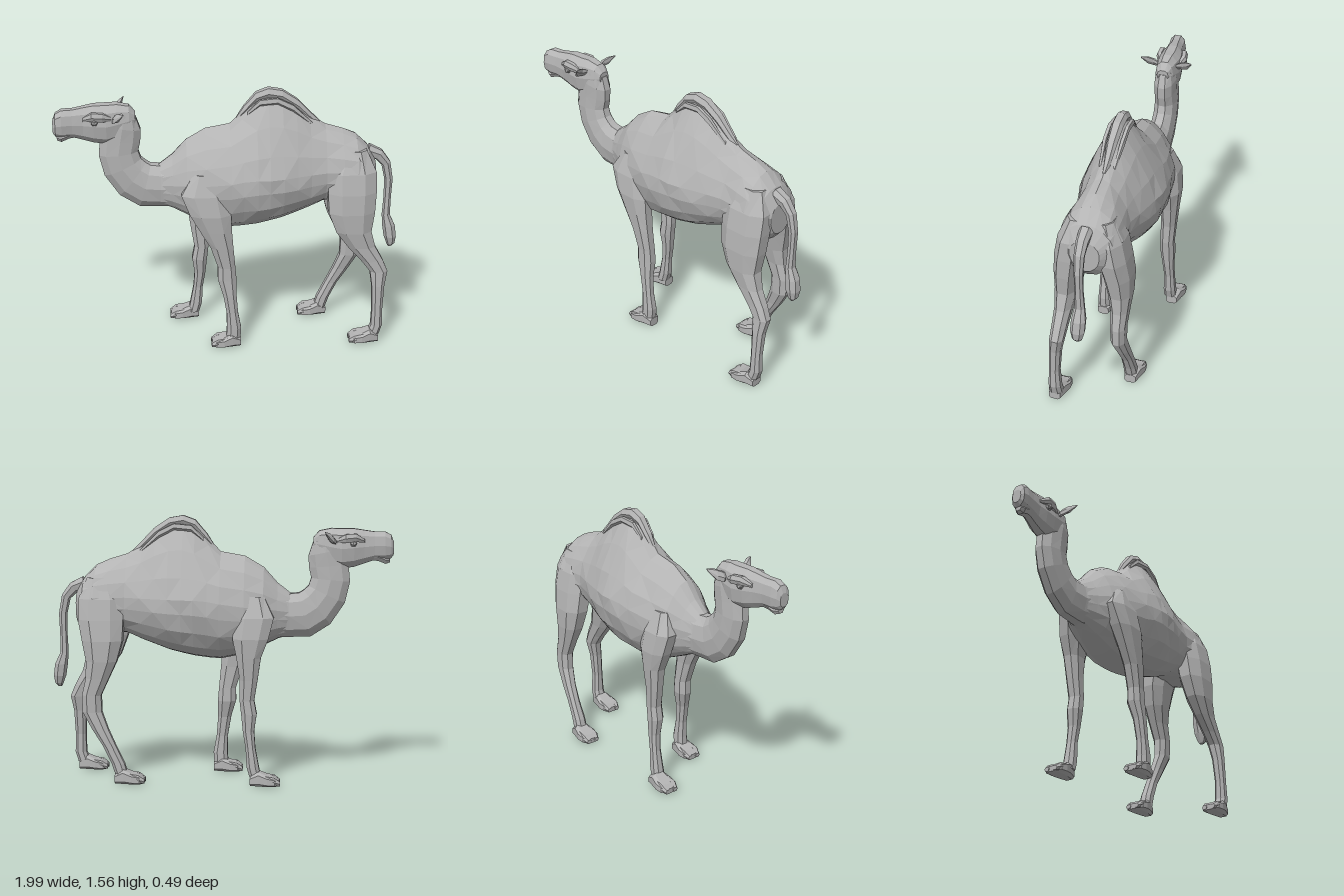
import * as THREE from 'three';

const hide = new THREE.MeshStandardMaterial({ color: 0xb4b4b4, flatShading: true });
hide.name = 'grey hide';

// Closed skin through a list of rings with equal point counts, ends capped.
function loft(name, rings) {
  const n = rings[0].length, pos = [], idx = [];
  rings.forEach(r => r.forEach(p => pos.push(...p)));
  for (let i = 0; i < rings.length - 1; i++) {
    for (let j = 0; j < n; j++) {
      const a = i * n + j, b = i * n + (j + 1) % n;
      if ((i + j) % 2) idx.push(a, b, a + n, b, b + n, a + n);
      else idx.push(a, b, b + n, a, b + n, a + n);
    }
  }
  [0, rings.length - 1].forEach(i => {
    const c = pos.length / 3, r = rings[i];
    pos.push(...[0, 1, 2].map(k => r.reduce((s, p) => s + p[k], 0) / n));
    for (let j = 0; j < n; j++) {
      const a = i * n + j, b = i * n + (j + 1) % n;
      if (i) idx.push(c, a, b); else idx.push(c, b, a);
    }
  });
  // Turn the faces outward: the enclosed volume must be positive.
  let volume = 0;
  const at = i => new THREE.Vector3().fromArray(pos, i * 3);
  for (let i = 0; i < idx.length; i += 3) volume += at(idx[i]).dot(at(idx[i + 1]).cross(at(idx[i + 2])));
  if (volume < 0) idx.reverse();
  const g = new THREE.BufferGeometry();
  g.setAttribute('position', new THREE.Float32BufferAttribute(pos, 3));
  g.setIndex(idx);
  g.computeVertexNormals();
  const mesh = new THREE.Mesh(g, hide);
  mesh.name = name;
  return mesh;
}

// Ring spanned by the z axis and a direction in the xy plane (degrees from +x).
function ring([x, y, z, a, b, deg = 0], sides = 8, pow = 0.85) {
  const d = deg * Math.PI / 180, out = [];
  const sq = v => Math.sign(v) * Math.abs(v) ** pow;
  for (let i = 0; i < sides; i++) {
    const t = (i + 0.5) / sides * Math.PI * 2, u = a * sq(Math.cos(t));
    out.push([x + u * Math.cos(d), y + u * Math.sin(d), z + b * sq(Math.sin(t))]);
  }
  return out;
}
const limb = (name, list, sides, pow) => loft(name, list.map(r => ring(r, sides, pow)));

// Trunk ring: round belly below the widest line, sharper back above it.
function trunkRing([x, bottom, mid, top, w, p]) {
  const out = [], sides = 18;
  for (let i = 0; i < sides; i++) {
    const t = i / sides * Math.PI * 2 + Math.PI / 2, c = Math.cos(t), s = Math.sin(t);
    const q = s > 0 ? p : 0.95;
    const wobble = 1 + 0.02 * Math.sin(i * 2.4 + x * 23);
    out.push([x, s > 0 ? mid + (top - mid) * s ** q : mid - (mid - bottom) * (-s) ** q,
      Math.sign(c) * w * Math.abs(c) ** q * wobble]);
  }
  return out;
}

export function createModel() {
  const camel = new THREE.Group();
  camel.name = 'camel';

  // Trunk with hump: x, bottom, widest height, top, half width, back sharpness
  camel.add(loft('trunk', [
    [-0.42, 0.87, 0.98, 1.10, 0.07, 1],
    [-0.33, 0.84, 0.99, 1.17, 0.115, 1.1],
    [-0.25, 0.80, 1.00, 1.26, 0.165, 1.2],
    [-0.14, 0.75, 1.01, 1.325, 0.205, 1.3],
    [0.00, 0.72, 1.03, 1.35, 0.23, 1.3],
    [0.07, 0.725, 1.05, 1.42, 0.238, 1.5],
    [0.15, 0.735, 1.06, 1.50, 0.245, 1.65],
    [0.22, 0.75, 1.06, 1.535, 0.242, 1.7],
    [0.30, 0.77, 1.06, 1.52, 0.23, 1.65],
    [0.38, 0.80, 1.06, 1.465, 0.21, 1.55],
    [0.46, 0.83, 1.06, 1.39, 0.185, 1.4],
    [0.55, 0.87, 1.06, 1.335, 0.165, 1.25],
    [0.65, 0.87, 1.06, 1.305, 0.175, 1.2],
    [0.73, 0.86, 1.06, 1.27, 0.18, 1.15],
    [0.80, 0.88, 1.06, 1.20, 0.15, 1.05],
    [0.845, 0.93, 1.04, 1.12, 0.085, 1],
  ].map(trunkRing)));

  // Ragged crest on the hump: a central ridge with a fold on each side
  camel.add(limb('humpCrest', [
    [0.03, 1.36, 0, 0.015, 0.01, 90], [0.08, 1.425, 0, 0.03, 0.025, 90],
    [0.15, 1.505, 0, 0.032, 0.032, 90], [0.22, 1.53, 0, 0.033, 0.035, 90],
    [0.30, 1.515, 0, 0.034, 0.035, 90], [0.39, 1.455, 0, 0.034, 0.03, 90],
    [0.47, 1.375, 0, 0.03, 0.02, 90], [0.52, 1.34, 0, 0.015, 0.01, 90]], 6));
  for (const s of [-1, 1]) {
    camel.add(limb('humpFold', [
      [0.10, 1.42, s * 0.04, 0.012, 0.008, 90], [0.17, 1.485, s * 0.045, 0.02, 0.014, 90],
      [0.27, 1.495, s * 0.05, 0.02, 0.014, 90], [0.36, 1.45, s * 0.05, 0.022, 0.014, 90],
      [0.47, 1.35, s * 0.04, 0.012, 0.008, 90]], 5));
  }

  // Neck: sagging curve up to the back of the skull
  camel.add(limb('neck', [
    [-0.30, 1.00, 0, 0.155, 0.11, 88], [-0.40, 0.98, 0, 0.132, 0.085, 88],
    [-0.49, 0.985, 0, 0.138, 0.075, 75], [-0.56, 1.03, 0, 0.132, 0.072, 52],
    [-0.615, 1.105, 0, 0.122, 0.07, 25], [-0.637, 1.19, 0, 0.118, 0.068, 5],
    [-0.625, 1.27, 0, 0.12, 0.065, -5], [-0.61, 1.35, 0, 0.11, 0.065, -12],
    [-0.60, 1.43, 0, 0.075, 0.055, -20]], 10, 0.95));

  // Head, turned slightly to the model's front side
  camel.add(limb('head', [
    [-0.535, 1.40, 0, 0.035, 0.035, 90], [-0.57, 1.395, 0, 0.082, 0.055, 90],
    [-0.64, 1.38, 0, 0.112, 0.068, 90], [-0.70, 1.37, 0.003, 0.12, 0.075, 90],
    [-0.77, 1.375, 0.008, 0.115, 0.068, 90], [-0.83, 1.38, 0.015, 0.1, 0.055, 90],
    [-0.89, 1.385, 0.023, 0.085, 0.05, 90], [-0.95, 1.385, 0.03, 0.085, 0.052, 90],
    [-0.985, 1.38, 0.035, 0.07, 0.045, 90], [-1.0, 1.37, 0.035, 0.04, 0.03, 90]], 10));
  camel.add(limb('lowerLip', [
    [-0.98, 1.305, 0.034, 0.018, 0.02, 90], [-0.955, 1.303, 0.032, 0.026, 0.034, 90],
    [-0.91, 1.32, 0.025, 0.025, 0.036, 90], [-0.85, 1.325, 0.018, 0.025, 0.03, 90]], 6));
  for (const s of [-1, 1]) {
    camel.add(limb('brow', [
      [-0.83, 1.415, s * 0.048 + 0.012, 0.012, 0.012, 90], [-0.78, 1.435, s * 0.07 + 0.008, 0.026, 0.022, 90],
      [-0.72, 1.43, s * 0.076, 0.028, 0.02, 90], [-0.67, 1.415, s * 0.06, 0.012, 0.012, 90]], 6));
    const eye = new THREE.Mesh(new THREE.IcosahedronGeometry(0.022, 0), hide);
    eye.name = 'eye';
    eye.position.set(-0.765, 1.403, s * 0.072 + 0.008);
    camel.add(eye);
    // Ear: flattened leaf pointing outward, its rings stepping along z
    camel.add(loft('ear', [[-0.63, 1.42, 0.045, 0.02], [-0.645, 1.425, 0.085, 0.034],
      [-0.63, 1.44, 0.12, 0.036], [-0.605, 1.465, 0.155, 0.008]].map(([x, y, z, r]) =>
      [0, 1, 2, 3, 4, 5].map(i => {
        const t = i / 6 * Math.PI * 2, u = r * Math.cos(t), v = 0.45 * r * Math.sin(t);
        return [x + 0.6 * u - 0.8 * v, y + 0.8 * u + 0.6 * v, s * (z - 0.3 * v)];
      }))));
  }

  // Legs: x, y, z, half length, half width from hip to ankle
  const legs = {
    leftFrontLeg: [[-0.15, 1.10, 0.13, 0.07, 0.05], [-0.15, 0.98, 0.15, 0.145, 0.07],
      [-0.12, 0.86, 0.165, 0.125, 0.07], [-0.09, 0.76, 0.17, 0.098, 0.058], [-0.055, 0.65, 0.17, 0.07, 0.05],
      [-0.028, 0.52, 0.165, 0.054, 0.045], [-0.025, 0.44, 0.165, 0.058, 0.047], [-0.01, 0.34, 0.18, 0.042, 0.036],
      [0.005, 0.22, 0.185, 0.036, 0.032], [0.015, 0.12, 0.185, 0.045, 0.038], [0.01, 0.05, 0.185, 0.045, 0.04]],
    rightFrontLeg: [[-0.20, 1.10, -0.12, 0.06, 0.05], [-0.20, 0.98, -0.15, 0.12, 0.07],
      [-0.18, 0.86, -0.165, 0.11, 0.07], [-0.17, 0.75, -0.17, 0.075, 0.055], [-0.17, 0.62, -0.165, 0.055, 0.047],
      [-0.16, 0.50, -0.16, 0.045, 0.043], [-0.172, 0.42, -0.16, 0.048, 0.045], [-0.17, 0.32, -0.165, 0.035, 0.036],
      [-0.182, 0.22, -0.17, 0.03, 0.032], [-0.195, 0.11, -0.17, 0.038, 0.038], [-0.21, 0.05, -0.17, 0.035, 0.04]],
    leftHindLeg: [[0.71, 1.20, 0.07, 0.08, 0.06], [0.70, 1.08, 0.10, 0.148, 0.085], [0.70, 0.96, 0.12, 0.15, 0.088],
      [0.70, 0.84, 0.135, 0.143, 0.082], [0.715, 0.72, 0.145, 0.11, 0.068], [0.765, 0.62, 0.15, 0.085, 0.052],
      [0.83, 0.53, 0.155, 0.068, 0.045], [0.872, 0.46, 0.16, 0.055, 0.042], [0.87, 0.37, 0.175, 0.04, 0.036],
      [0.87, 0.22, 0.185, 0.033, 0.032], [0.87, 0.11, 0.185, 0.036, 0.038], [0.85, 0.05, 0.185, 0.038, 0.04]],
    rightHindLeg: [[0.70, 1.20, -0.07, 0.08, 0.06], [0.69, 1.08, -0.10, 0.14, 0.085], [0.69, 0.96, -0.12, 0.14, 0.088],
      [0.68, 0.84, -0.14, 0.125, 0.082], [0.685, 0.72, -0.15, 0.095, 0.068], [0.71, 0.62, -0.155, 0.072, 0.052],
      [0.745, 0.52, -0.155, 0.06, 0.045], [0.742, 0.42, -0.155, 0.06, 0.042], [0.695, 0.32, -0.165, 0.05, 0.036],
      [0.64, 0.22, -0.17, 0.04, 0.034], [0.592, 0.12, -0.17, 0.04, 0.038], [0.57, 0.05, -0.17, 0.038, 0.04]],
  };
  // Feet: heel x and z of each broad two-toed pad
  const feet = { leftFrontLeg: [0.055, 0.185], rightFrontLeg: [-0.18, -0.185], leftHindLeg: [0.88, 0.19], rightHindLeg: [0.61, -0.175] };
  for (const [name, rings] of Object.entries(legs)) {
    const leg = new THREE.Group(), [x, z] = feet[name];
    leg.name = name;
    leg.add(limb('shank', rings, 8));
    leg.add(limb('foot', [[x, 0.03, z, 0.028, 0.035, 90], [x - 0.05, 0.045, z, 0.045, 0.05, 90],
      [x - 0.10, 0.034, z, 0.034, 0.062, 90], [x - 0.145, 0.028, z, 0.028, 0.058, 90],
      [x - 0.17, 0.02, z, 0.016, 0.035, 90]], 8, 0.6));
    for (const s of [-1, 1]) {
      leg.add(limb('toe', [[x - 0.08, 0.045, z + s * 0.03, 0.025, 0.022, 90],
        [x - 0.14, 0.034, z + s * 0.032, 0.027, 0.026, 90], [x - 0.175, 0.02, z + s * 0.028, 0.014, 0.016, 90]], 6));
    }
    camel.add(leg);
  }

  // Tail with a tuft
  camel.add(limb('tail', [
    [0.80, 1.16, 0, 0.045, 0.04, 70], [0.87, 1.135, 0, 0.035, 0.035, 55], [0.915, 1.08, 0, 0.028, 0.03, 25],
    [0.935, 0.98, 0, 0.025, 0.026], [0.933, 0.86, 0, 0.022, 0.024], [0.93, 0.75, 0, 0.024, 0.03],
    [0.95, 0.68, 0, 0.038, 0.042], [0.96, 0.61, 0.004, 0.037, 0.042], [0.965, 0.565, 0.006, 0.025, 0.03],
    [0.96, 0.545, 0.006, 0.012, 0.015]], 7));
  return camel;
}
